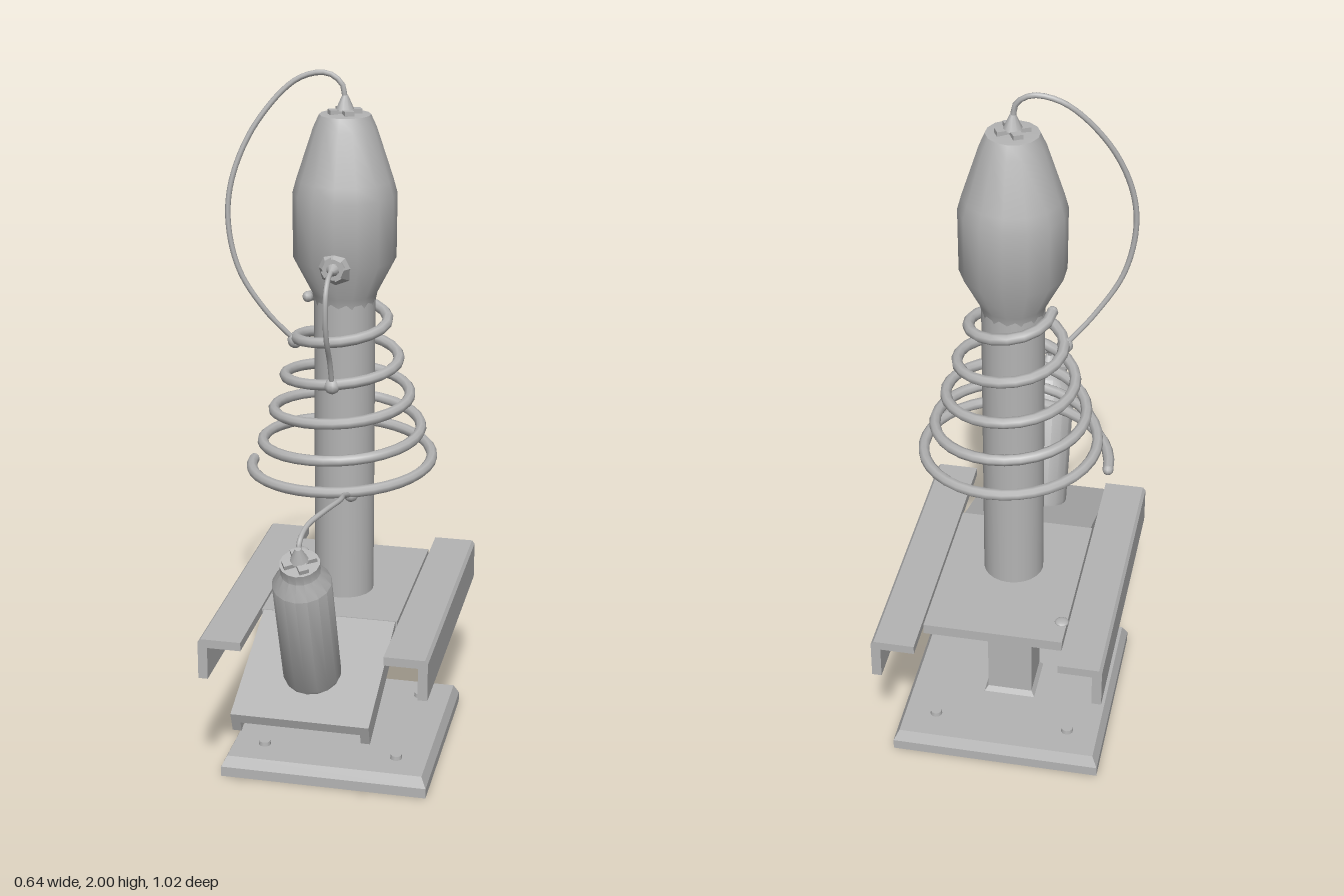
import * as THREE from 'three';
import { toCreasedNormals } from 'three/addons/utils/BufferGeometryUtils.js';

export function createModel() {
  const model = new THREE.Group();
  const grey = new THREE.MeshStandardMaterial({ color: 0xb4b4b4, side: THREE.DoubleSide });
  grey.name = 'plain grey';

  const add = (name, geometry, x = 0, y = 0, z = 0, parent = model) => {
    const mesh = new THREE.Mesh(geometry, grey);
    mesh.name = name;
    mesh.position.set(x, y, z);
    parent.add(mesh);
    return mesh;
  };
  const lathe = (points, sides, crease = 0.65) => toCreasedNormals(
    new THREE.LatheGeometry(points.map(([r, y]) => new THREE.Vector2(r, y)), sides), crease);
  // Square turning: the given radii are half widths
  const square = (points) => lathe(points.map(([r, y]) => [r * Math.SQRT2, y]), 4, 0.1).rotateY(Math.PI / 4);
  const box = (w, h, d) => new THREE.BoxGeometry(w, h, d);
  const cable = (name, points, radius = 0.0075) => add(name, new THREE.TubeGeometry(
    new THREE.CatmullRomCurve3(points.map((p) => new THREE.Vector3(...p))), 48, radius, 8));

  const axisZ = -0.1;

  // Hollow square foot, its screws and the square post
  add('basePlate', square([[0.065, 0.035], [0.275, 0.035], [0.275, 0], [0.3, 0], [0.3, 0.03],
    [0.285, 0.06], [0.065, 0.06]]), 0, 0, axisZ);
  add('squarePost', square([[0.075, 0.06], [0.065, 0.075], [0.065, 0.48]]), 0, 0, axisZ);
  for (const x of [-0.195, 0.195]) {
    for (const z of [-0.195, 0.195]) {
      add('baseScrew', new THREE.CylinderGeometry(0.016, 0.022, 0.05, 10), x, 0.047, axisZ + z);
    }
  }

  // Horizontal deck with a small rivet
  add('deck', box(0.39, 0.03, 0.515), 0, 0.485, -0.1525);
  add('deckRivet', new THREE.SphereGeometry(0.02, 12, 8).scale(1, 0.4, 1), -0.18, 0.5, -0.325);

  // L-shaped rails along both sides
  const profile = new THREE.Shape([[0.2, 0.5], [0.2, 0.475], [0.295, 0.475], [0.295, 0.38],
    [0.322, 0.38], [0.322, 0.49], [0.314, 0.5]].map(([x, y]) => new THREE.Vector2(x, y)));
  const rail = new THREE.ExtrudeGeometry(profile, { depth: 0.835, bevelEnabled: false });
  add('leftRail', rail, 0, 0, -0.505);
  add('rightRail', rail.clone().rotateY(Math.PI), 0, 0, 0.33);

  // Sloping front shelf with side flanges and a handle standing on it
  const shelf = new THREE.Group();
  shelf.name = 'frontShelf';
  shelf.position.set(0, 0.5, 0.1);
  shelf.rotation.x = THREE.MathUtils.degToRad(20);
  model.add(shelf);
  add('shelfPanel', box(0.38, 0.03, 0.405), 0, -0.015, 0.2025, shelf);
  for (const side of [-1, 1]) add('shelfFlange', box(0.025, 0.035, 0.405), side * 0.1775, -0.045, 0.2025, shelf);
  add('handle', lathe([[0, 0], [0.077, 0], [0.08, 0.01], [0.08, 0.35], [0.054, 0.39],
    [0.054, 0.42], [0, 0.422]], 16), 0, 0, 0.23, shelf);

  // Round column and bottle-shaped head
  add('column', new THREE.CylinderGeometry(0.085, 0.085, 0.94, 24), 0, 0.95, axisZ);
  add('head', lathe([[0.084, 1.36], [0.09, 1.39], [0.142, 1.49], [0.143, 1.67], [0.132, 1.71],
    [0.086, 1.85], [0.07, 1.885], [0, 1.89]], 14), 0, 0, axisZ);

  // Cable glands: a cross-shaped collar with a tapering sleeve
  const gland = (name, x, y, z, parent, tilt = 0, size = 1) => {
    const group = new THREE.Group();
    group.name = name;
    group.position.set(x, y, z);
    group.rotation.x = tilt;
    group.scale.setScalar(size);
    parent.add(group);
    for (const turn of [0.5, 0.5 + Math.PI / 2]) {
      add('collarBar', box(0.09, 0.014, 0.026), 0, 0.006, 0, group).rotation.y = turn;
    }
    add('sleeve', new THREE.CylinderGeometry(0.008, 0.026, 0.04, 10), 0, 0.03, 0, group);
  };
  gland('topGland', 0, 1.886, axisZ, model);
  gland('handleGland', 0, 0.42, 0.23, shelf);
  add('frontBoss', toCreasedNormals(new THREE.CylinderGeometry(0.03, 0.06, 0.05, 8), 0.5),
    0, 1.495, 0.03).rotation.x = Math.PI / 2;
  gland('frontGland', 0, 1.495, 0.048, model, Math.PI / 2, 0.7);

  // Conical coil widening downwards around the column
  const turnHeights = [1.37, 1.255, 1.145, 1.045, 0.95, 0.875];
  class Coil extends THREE.Curve {
    getPoint(t, target = new THREE.Vector3()) {
      const turns = t * 5;
      const i = Math.min(4, Math.floor(turns));
      const y = THREE.MathUtils.lerp(turnHeights[i], turnHeights[i + 1], turns - i);
      const r = 0.105 + 0.032 * turns;
      const a = turns * Math.PI * 2;
      return target.set(-r * Math.cos(a), y, axisZ - r * Math.sin(a));
    }
  }
  add('coil', new THREE.TubeGeometry(new Coil(), 140, 0.0155, 8));
  for (const t of [0, 1]) {
    const p = new Coil().getPoint(t);
    add('coilEnd', new THREE.SphereGeometry(0.0155, 8, 6), p.x, p.y, p.z);
  }

  // Thin cables joining the head and handle to the coil
  cable('topCable', [[0, 1.92, -0.1], [-0.008, 1.965, -0.1], [-0.05, 1.993, -0.102], [-0.13, 1.975, -0.095],
    [-0.235, 1.86, -0.06], [-0.295, 1.72, -0.03], [-0.308, 1.6, -0.02], [-0.28, 1.46, -0.022],
    [-0.21, 1.34, -0.04], [-0.135, 1.25, -0.07]]);
  cable('frontCable', [[0, 1.495, 0.08], [0, 1.485, 0.115], [0, 1.45, 0.143], [0, 1.39, 0.15],
    [0, 1.32, 0.135], [0, 1.25, 0.095], [0, 1.17, 0.065]]);
  cable('handleCable', [[0, 0.84, 0.468], [0, 0.875, 0.46], [0.008, 0.9, 0.41], [0.04, 0.915, 0.33],
    [0.064, 0.917, 0.255], [0.06, 0.905, 0.195], [0.07, 0.885, 0.13]]);
  add('topJoint', new THREE.SphereGeometry(0.022, 10, 8), -0.135, 1.25, -0.07);
  add('frontJoint', new THREE.SphereGeometry(0.022, 10, 8), 0, 1.17, 0.065);
  add('handleJoint', new THREE.SphereGeometry(0.02, 10, 8), 0.068, 0.885, 0.135);
  return model;
}
